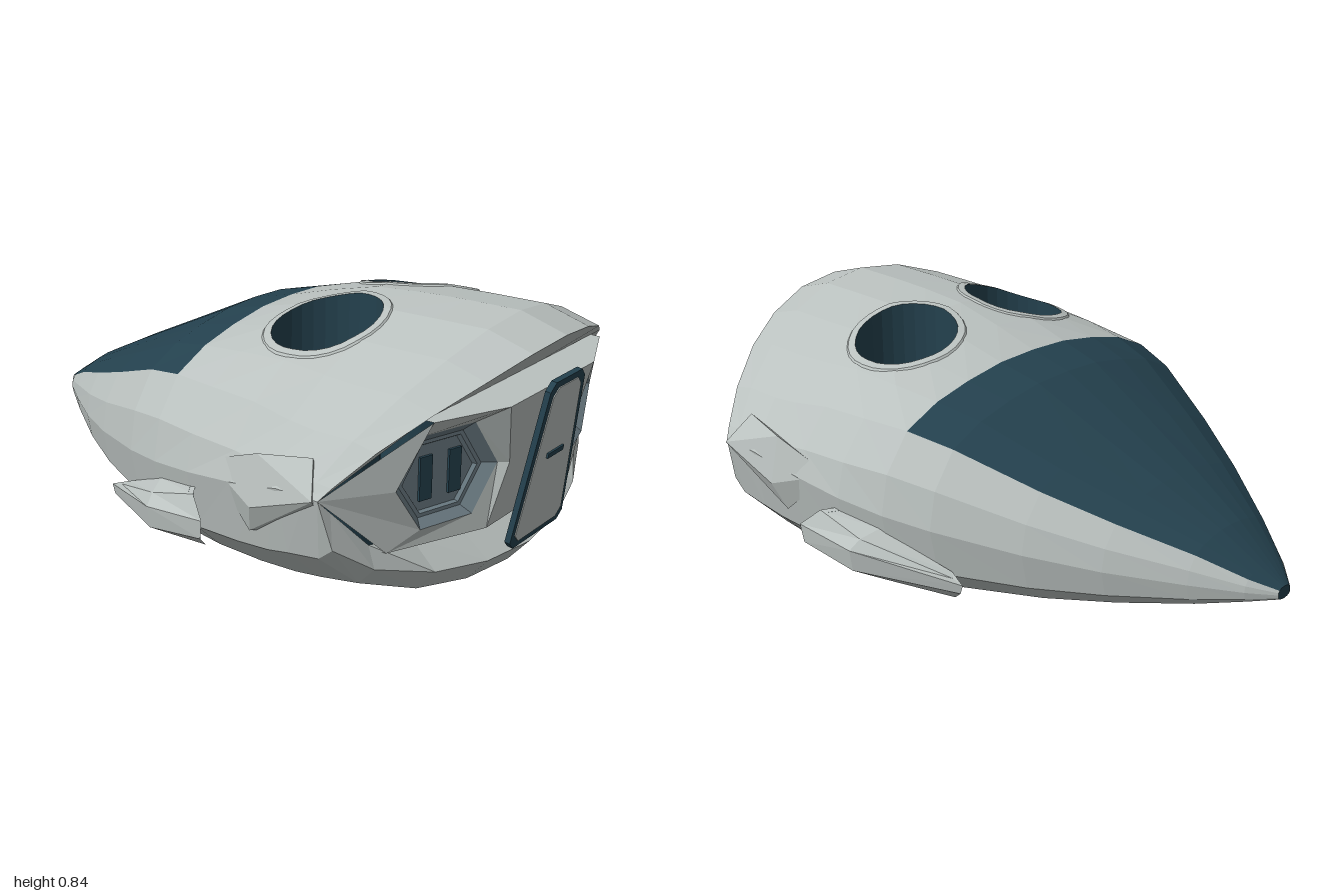
import * as THREE from 'three';
import { ConvexGeometry } from 'three/addons/geometries/ConvexGeometry.js';

const mat = (name, color) => new THREE.MeshStandardMaterial({ name, color, flatShading: true, side: THREE.DoubleSide });
const V = (x, y, z) => new THREE.Vector3(x, y, z);

// Hull stations: z, half width, top, bottom, widest height, sideways sweep
const STATIONS = [
  [-1, 0.03, 0.26, 0.22, 0.24, 0], [-0.93, 0.1, 0.305, 0.2, 0.25, 0], [-0.8, 0.2, 0.39, 0.16, 0.265, 0],
  [-0.6, 0.345, 0.49, 0.115, 0.29, 0], [-0.4, 0.47, 0.585, 0.075, 0.32, 0], [-0.15, 0.6, 0.705, 0.04, 0.36, 0],
  [0, 0.655, 0.74, 0.02, 0.38, 0], [0.16, 0.69, 0.785, 0.01, 0.4, 0], [0.33, 0.705, 0.825, 0.005, 0.42, 0],
  [0.5, 0.72, 0.838, 0.015, 0.44, 0.1], [0.65, 0.73, 0.843, 0.03, 0.46, 0.25], [0.83, 0.73, 0.845, 0.06, 0.46, 0.4],
];
// Half cross-section from top centre, round the side, to bottom centre
const PX = [0, 0.22, 0.44, 0.64, 0.83, 0.96, 1, 0.95, 0.8, 0.55, 0.28, 0];
const PY_NOSE = [1, 0.985, 0.92, 0.83, 0.67, 0.35, 0, -0.47, -0.72, -0.89, -0.97, -1];
const PY_TAIL = [1, 0.95, 0.81, 0.62, 0.36, 0.1, 0, -0.47, -0.72, -0.89, -0.97, -1];
const SIDE = 6, CANOPY_EDGE = 4, CANOPY_END = 6;

function section([z, w, top, bottom, mid, sweep]) {
  const f = THREE.MathUtils.clamp(z / 0.6, 0, 1);
  return PX.map((px, i) => {
    const py = THREE.MathUtils.lerp(PY_NOSE[i], PY_TAIL[i], f);
    return V(px * w, mid + py * (py > 0 ? top - mid : mid - bottom), z - sweep * (px * w) ** 2);
  });
}

// Height of the upper or lower skin at x, z
function skinY(x, z, upper) {
  const k = STATIONS.findIndex((s) => s[0] >= z), a = STATIONS[k - 1], b = STATIONS[k];
  const t = (z - a[0]) / (b[0] - a[0]);
  let half = section(a.map((v, j) => v + (b[j] - v) * t));
  half = upper ? half.slice(0, SIDE + 1) : half.slice(SIDE).reverse();
  const i = half.findIndex((p) => p.x >= Math.abs(x)) || 1, p = half[i - 1], q = half[i];
  return p.y + ((q.y - p.y) * (Math.abs(x) - p.x)) / (q.x - p.x);
}

// Triangles joining successive rows of points
function strip(rows, closed = false) {
  const tris = [];
  for (let k = 0; k + 1 < rows.length; k++) {
    const n = rows[k].length;
    for (let i = 0; i < (closed ? n : n - 1); i++) {
      const j = (i + 1) % n, a = rows[k][i], b = rows[k + 1][i], c = rows[k][j], d = rows[k + 1][j];
      tris.push([a, b, c], [c, b, d]);
    }
  }
  return tris;
}
const fan = (pts) => pts.slice(2).map((p, i) => [pts[0], pts[i + 1], p]);
const mirror = (tris) => tris.map(([a, b, c]) => [a, c, b].map((p) => V(-p.x, p.y, p.z)));
const both = (tris) => [...tris, ...mirror(tris)];

function trisMesh(name, tris, material) {
  const g = new THREE.BufferGeometry().setFromPoints(tris.flat());
  g.computeVertexNormals();
  const m = new THREE.Mesh(g, material);
  m.name = name;
  return m;
}

// Lift-fan wells
const WELL = { x: 0.245, z: 0.325, r: 0.165, n: 28 };
const circle = (r, yOf) => Array.from({ length: WELL.n }, (_, i) => {
  const a = (i / WELL.n) * Math.PI * 2, x = WELL.x + r * Math.cos(a), z = WELL.z + r * Math.sin(a);
  return V(x, yOf(x, z), z);
});

// Cuts the round well opening out of the skin
function cutWell(tris) {
  const out = [];
  const clip = (poly, dist) => poly.flatMap((p, i) => {
    const q = poly[(i + 1) % poly.length], dp = dist(p), dq = dist(q), res = dp <= 0 ? [p] : [];
    if (dp * dq < 0) res.push(p.clone().lerp(q, dp / (dp - dq)));
    return res;
  });
  for (const tri of tris) {
    let poly = tri;
    const near = tri.some((p) => p.z > 0.1) && tri.some((p) => p.z < 0.55);
    if (!near) { out.push(tri); continue; }
    for (let i = 0; i < WELL.n && poly.length > 2; i++) {
      const a = ((i + 0.5) / WELL.n) * Math.PI * 2, reach = WELL.r * Math.cos(Math.PI / WELL.n);
      const d = (p) => (p.x - WELL.x) * Math.cos(a) + (p.z - WELL.z) * Math.sin(a) - reach;
      out.push(...fan(clip(poly, (p) => -d(p))));
      poly = clip(poly, d);
    }
  }
  return out;
}

export function createModel() {
  const model = new THREE.Group();
  const hull = mat('hull grey', 0xbac1bf), dark = mat('dark teal', 0x24414e), slate = mat('slate', 0x6b7b83);
  const add = (name, tris, material) => model.add(trisMesh(name, tris, material));
  const box = (parent, name, size, pos, material, rotY = 0) => {
    const m = new THREE.Mesh(new THREE.BoxGeometry(...size), material);
    m.name = name;
    m.position.set(...pos);
    m.rotation.y = rotY;
    parent.add(m);
  };

  // Skin and canopy
  const rows = STATIONS.map(section);
  const upperLip = section([0.98, 0.73, 0.8, 0.14, 0.46, 0.6]).slice(0, SIDE + 1);
  const lowerLip = section([0.9, 0.73, 0.8, 0.14, 0.46, 0.45]).slice(SIDE);
  const nose = rows.slice(0, CANOPY_END + 1);
  const skin = [
    ...strip(nose.map((r) => r.slice(CANOPY_EDGE))),
    ...cutWell(strip(rows.slice(CANOPY_END))),
    ...strip([rows.at(-1).slice(0, SIDE + 1), upperLip]),
    ...strip([rows.at(-1).slice(SIDE), lowerLip]),
  ];
  add('hull', both(skin), hull);
  add('canopy', both(strip(nose.map((r) => r.slice(0, CANOPY_EDGE + 1)))), dark);
  add('noseTip', both(fan(rows[0])), dark);

  // Recessed mouth behind the upper and lower lips
  const roof = upperLip.map(({ x }) => {
    const t = Math.max(0, (x - 0.47) / 0.26);
    return V(x, 0.65 - 0.19 * t, 0.82 - 0.16 * t);
  });
  const floor = lowerLip.map(({ x }) => {
    const t = Math.max(0, (x - 0.55) / 0.18);
    return V(x, 0.26 + 0.2 * t, 0.74 - 0.08 * t);
  });
  add('mouthRoof', both(strip([upperLip, roof])), hull);
  add('mouthFloor', both(strip([lowerLip, floor])), hull);

  // Bulkhead with a hexagonal recess on each side
  const frame = [V(0.24, 0.65, 0.95), V(0.18, 0.46, 0.92), V(0.24, 0.27, 0.89),
    V(0.55, 0.27, 0.76), V(0.73, 0.46, 0.66), V(0.47, 0.65, 0.85)];
  const hexAt = (scale, depth) => [[-0.09, 0.14], [-0.175, 0], [-0.09, -0.135], [0.09, -0.135], [0.175, 0], [0.09, 0.14]]
    .map(([x, y]) => V(0.375 + x * scale, 0.46 + y * scale, 0.84 - depth - 0.3 * x * scale));
  const hexes = [hexAt(1, 0), hexAt(0.82, 0.025), hexAt(0.74, 0.025), hexAt(0.7, 0.035)];
  const centre = frame.slice(0, 3);
  const back = (pts) => [pts, pts.map((p) => V(p.x, p.y, 0.74))];
  add('bulkhead', [
    ...both(strip([frame, hexes[0]], true)),
    ...strip([centre.map((p) => V(-p.x, p.y, p.z)), centre]),
    ...both(strip(back([V(0, 0.65, 0.95), frame[0], frame[5]]))),
    ...both(strip(back([V(0, 0.27, 0.89), frame[2], frame[3]]))),
  ], hull);
  add('hexRecess', both([...strip(hexes, true), ...fan(hexes.at(-1))]), slate);
  for (const s of [-1, 1]) {
    for (const x of [0.325, 0.425]) {
      box(model, 'window', [0.044, 0.13, 0.009], [s * (x - 0.005), 0.46, 0.81 - 0.3 * (x - 0.375)], dark, s * 0.29);
    }
  }

  // Leaning door
  const door = new THREE.Group();
  door.name = 'door';
  const doorPlate = (name, inset, depth, z, material) => {
    const t = 0.1 - inset, b = 0.155 - inset, h = 0.26 - inset, c = 0.025;
    const half = [[t - c, h], [t, h - c], [b, -h + c], [b - c, -h]];
    const pts = [...half, ...half.map(([x, y]) => [-x, y]).reverse()].map((p) => new THREE.Vector2(...p));
    const m = new THREE.Mesh(new THREE.ExtrudeGeometry(new THREE.Shape(pts), { depth, bevelEnabled: false }), material);
    m.name = name;
    m.position.z = z;
    door.add(m);
  };
  doorPlate('doorFrame', 0, 0.018, -0.009, dark);
  doorPlate('doorPanel', 0.02, 0.005, 0.007, hull);
  box(door, 'doorHandle', [0.09, 0.016, 0.008], [0, 0.02, 0.014], dark);
  door.position.set(0, 0.428, 0.948);
  door.rotation.x = 0.155;
  model.add(door);

  // Well walls and rims
  const skinAt = (upper, lift) => (x, z) => skinY(x, z, upper) + lift * (upper ? 1 : -1);
  const rim = (upper) => strip([circle(WELL.r, skinAt(upper, 0.006)), circle(0.188, skinAt(upper, 0.006)),
    circle(0.198, skinAt(upper, -0.006))], true);
  add('wellRims', both([...rim(true), ...rim(false)]), hull);
  add('wellWalls', both(strip([circle(WELL.r, skinAt(true, 0.006)), circle(WELL.r, skinAt(false, 0.006))], true)), dark);
  add('wellBaffle', fan(circle(WELL.r, () => 0.36)), dark);

  // Fans
  for (const s of [-1, 1]) {
    const rotor = new THREE.Group();
    rotor.name = 'liftFan';
    rotor.position.set(s * WELL.x, 0.45, WELL.z);
    const hub = new THREE.Mesh(new THREE.CylinderGeometry(0.04, 0.04, 0.05, 12), dark);
    hub.name = 'fanHub';
    rotor.add(hub);
    for (let i = 0; i < 10; i++) {
      const a = (i / 10) * Math.PI * 2;
      box(rotor, 'fanBlade', [0.12, 0.015, i % 5 ? 0.026 : 0.014],
        [Math.cos(a) * 0.09, 0, -Math.sin(a) * 0.09], i % 5 ? slate : dark, a);
    }
    model.add(rotor);
  }

  // Side scoops, open to the rear
  const mouth = [V(0.66, 0.36, 0.17), V(0.72, 0.355, 0.21), V(0.755, 0.3, 0.27), V(0.75, 0.24, 0.26), V(0.66, 0.17, 0.2)];
  const belly = [V(0.65, 0.33, 0.02), V(0.71, 0.31, 0.04), V(0.745, 0.28, 0.05), V(0.735, 0.21, 0.05), V(0.63, 0.15, 0.02)];
  const tip = [V(0.56, 0.23, -0.2), V(0.575, 0.22, -0.22), V(0.575, 0.21, -0.26), V(0.575, 0.18, -0.25), V(0.55, 0.14, -0.2)];
  add('sideScoops', both([...strip([mouth, belly, tip]), ...fan(tip)]), hull);
  add('scoopIntakes', both(fan(mouth.map((p) => V(p.x - 0.008, p.y - 0.003, p.z - 0.025)))), dark);

  // Faceted cheeks
  const cheek = [[0.742, 0.46, 0.65], [0.735, 0.38, 0.43], [0.7, 0.53, 0.43], [0.7, 0.29, 0.4],
    [0.67, 0.45, 0.22], [0.6, 0.32, 0.6], [0.67, 0.55, 0.6]];
  for (const s of [-1, 1]) {
    const m = new THREE.Mesh(new ConvexGeometry(cheek.map(([x, y, z]) => V(s * x, y, z))), hull);
    m.name = 'cheek';
    model.add(m);
  }
  return model;
}
